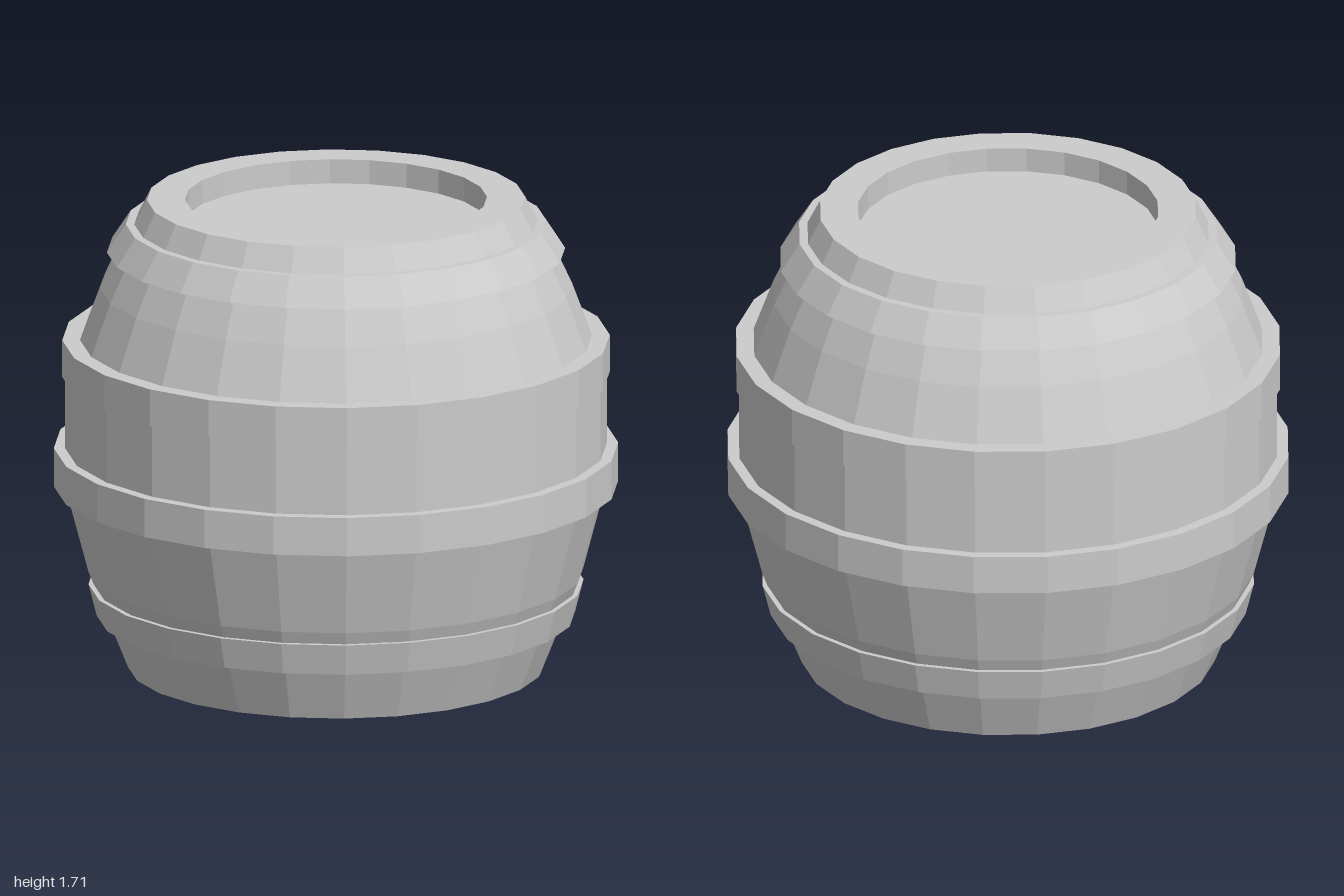
import * as THREE from 'three';

const SIDES = 24;
const material = new THREE.MeshStandardMaterial({ color: 0xcccccc, flatShading: true });

// Revolve a bottom-to-top list of [radius, height] points.
function turned(name, points) {
  const profile = points.map(([r, y]) => new THREE.Vector2(r, y));
  const mesh = new THREE.Mesh(new THREE.LatheGeometry(profile, SIDES), material);
  mesh.name = name;
  return mesh;
}

// Hoop whose open inner side is buried in the staves.
function hoop(name, y0, r0, y1, r1, depth) {
  return turned(name, [[r0 - depth, y0], [r0, y0], [r1, y1], [r1 - depth, y1]]);
}

export function createModel() {
  const barrel = new THREE.Group();
  barrel.name = 'barrel';

  // Closed base, bulging staves and thick top rim
  barrel.add(turned('staves', [
    [0, 0], [0.737, 0], [0.877, 0.35], [0.96, 0.665], [0.96, 1.065],
    [0.907, 1.2], [0.837, 1.39], [0.777, 1.52], [0.716, 1.62], [0.67, 1.71],
    [0.535, 1.71],
  ]));

  // Recessed lid with the inner wall of the rim
  barrel.add(turned('lid', [[0.535, 1.71], [0.535, 1.622], [0, 1.622]]));

  // Hoops
  barrel.add(hoop('bottomHoop', 0.19, 0.848, 0.305, 0.877, 0.06));
  barrel.add(hoop('lowerMiddleHoop', 0.665, 1, 0.805, 1, 0.07));
  barrel.add(hoop('upperMiddleHoop', 1.065, 0.97, 1.2, 0.97, 0.09));
  barrel.add(hoop('topHoop', 1.52, 0.812, 1.622, 0.745, 0.06));

  return barrel;
}
